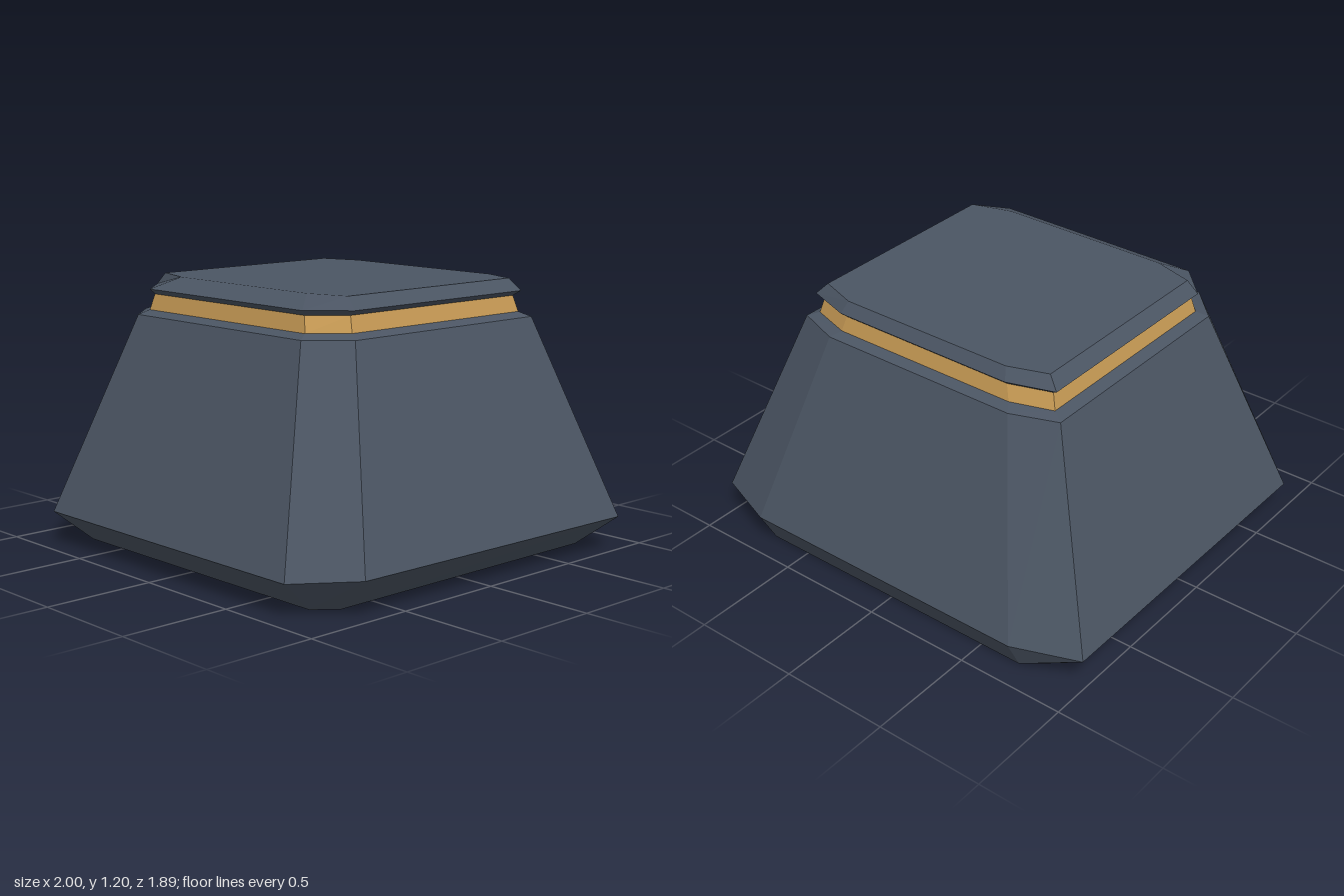
import * as THREE from 'three';

// Eight-cornered ring: front edge half-width and z, side x with its front and back z,
// back edge half-width and z. The optional lift raises the front left corner.
function ring(y, frontX, frontZ, sideX, sideFrontZ, sideBackZ, backX, backZ, lift = 0) {
  return [
    [frontX, y, frontZ], [sideX, y + lift, sideFrontZ],
    [sideX, y, sideBackZ], [backX, y, backZ],
    [-backX, y, backZ], [-sideX, y, sideBackZ],
    [-sideX, y, sideFrontZ], [-frontX, y, frontZ],
  ];
}

// Faceted loft through the rings, closed at both ends
function loft(rings) {
  const pos = [];
  const tri = (a, b, c) => pos.push(...a, ...b, ...c);
  for (let r = 0; r < rings.length - 1; r++) {
    const lo = rings[r], hi = rings[r + 1];
    for (let i = 0; i < 8; i++) {
      const j = (i + 1) % 8;
      tri(lo[i], lo[j], hi[j]);
      tri(lo[i], hi[j], hi[i]);
    }
  }
  const bottom = rings[0], top = rings[rings.length - 1];
  for (let i = 1; i < 7; i++) {
    tri(bottom[0], bottom[i + 1], bottom[i]);
    tri(top[0], top[i], top[i + 1]);
  }
  const g = new THREE.BufferGeometry();
  g.setAttribute('position', new THREE.Float32BufferAttribute(pos, 3));
  g.computeVertexNormals();
  return g;
}

export function createModel() {
  const slate = new THREE.MeshStandardMaterial({ name: 'slate', color: 0x4b5563 });
  const gold = new THREE.MeshStandardMaterial({ name: 'gold', color: 0xc89b55 });

  const model = new THREE.Group();
  model.name = 'pedestal';
  const add = (name, rings, material) => {
    const mesh = new THREE.Mesh(loft(rings), material);
    mesh.name = name;
    model.add(mesh);
  };

  // Rings shared by neighbouring parts
  const bandBottom = ring(1.055, 0.51, 0.585, 0.635, 0.445, -0.56, 0.45, -0.62);
  const bandTop = ring(1.125, 0.49, 0.57, 0.615, 0.435, -0.545, 0.43, -0.605);

  // Tapered body with an undercut foot and a narrow shoulder
  add('body', [
    ring(0, 0.73, 0.765, 0.81, 0.67, -0.78, 0.7, -0.87),
    ring(0.15, 0.78, 0.94, 1, 0.72, -0.84, 0.705, -0.95, 0.015),
    ring(1.035, 0.535, 0.63, 0.685, 0.475, -0.59, 0.48, -0.665),
    bandBottom,
  ], slate);

  // Recessed trim band
  add('trimBand', [bandBottom, bandTop], gold);

  // Flared cap with a sloping edge
  add('cap', [
    bandTop,
    ring(1.147, 0.5, 0.59, 0.645, 0.44, -0.565, 0.44, -0.63),
    ring(1.2, 0.41, 0.485, 0.595, 0.43, -0.54, 0.42, -0.6),
  ], slate);

  return model;
}
